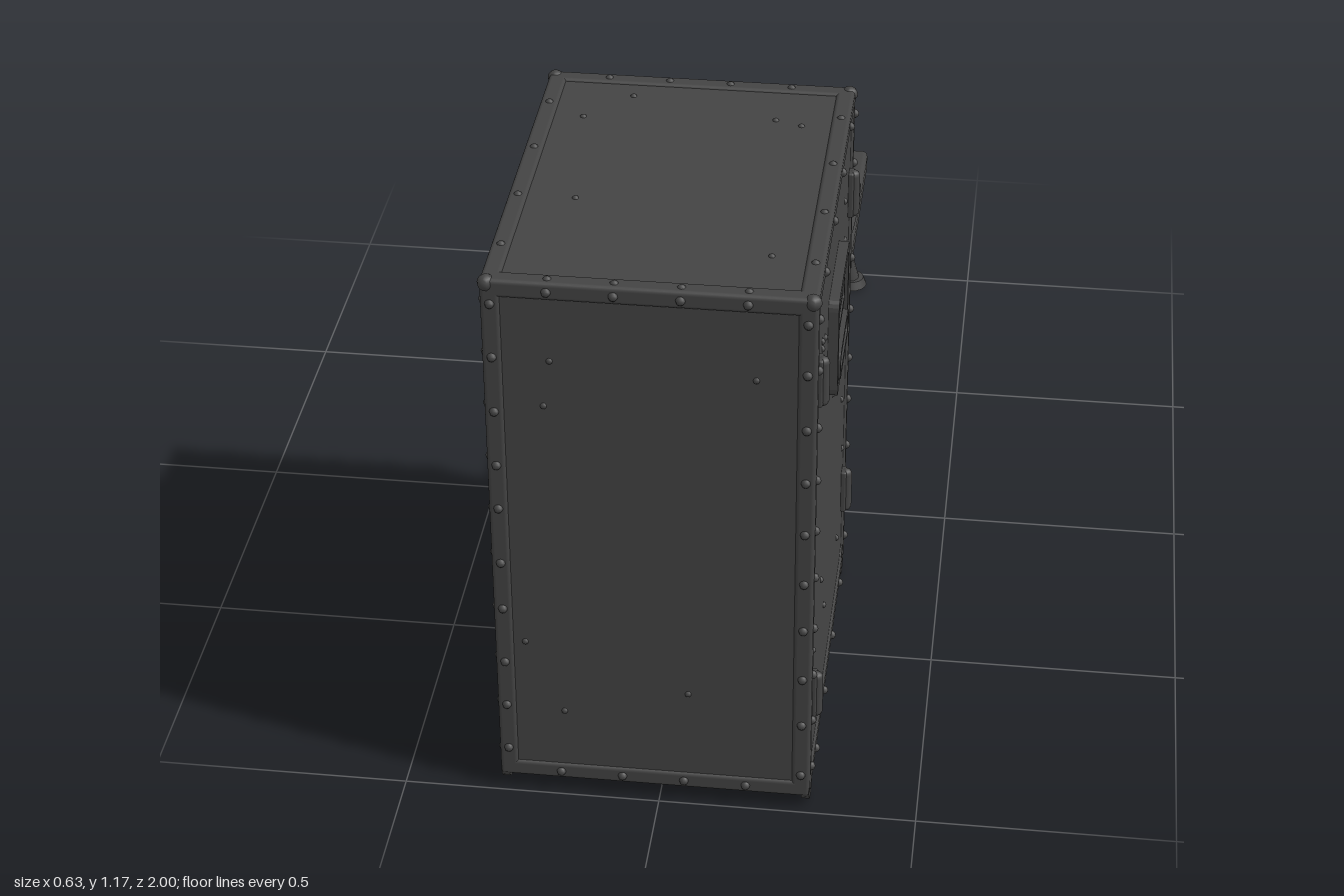
import * as THREE from 'three';
import { mergeVertices } from 'three/addons/utils/BufferGeometryUtils.js';
import { RoundedBoxGeometry } from 'three/addons/geometries/RoundedBoxGeometry.js';

const darkGrey = new THREE.MeshStandardMaterial({ color: 0x444444 });
darkGrey.name = 'darkGrey';

// Cabinet limits
const X0 = -0.312, X1 = 0.293, Y0 = 0.03, Y1 = 1.163, Z0 = 0.192, Z1 = 0.99;
const CX = (X0 + X1) / 2, CY = (Y0 + Y1) / 2, CZ = (Z0 + Z1) / 2;

let seed = 7;
const random = () => (seed = (seed * 16807) % 2147483647) / 2147483647;

function add(parent, name, geometry, x = 0, y = 0, z = 0) {
  const mesh = new THREE.Mesh(geometry, darkGrey);
  mesh.name = name;
  mesh.position.set(x, y, z);
  parent.add(mesh);
  return mesh;
}
const rounded = (w, h, d, r) => new RoundedBoxGeometry(w, h, d, 2, r);

// Flat frame with a rounded rectangular hole, facing +x
function rimGeometry(w, h, border, depth) {
  const rect = (p, a, b, r) => {
    p.moveTo(-a + r, -b);
    p.lineTo(a - r, -b); p.quadraticCurveTo(a, -b, a, -b + r);
    p.lineTo(a, b - r); p.quadraticCurveTo(a, b, a - r, b);
    p.lineTo(-a + r, b); p.quadraticCurveTo(-a, b, -a, b - r);
    p.lineTo(-a, -b + r); p.quadraticCurveTo(-a, -b, -a + r, -b);
    return p;
  };
  const shape = rect(new THREE.Shape(), w / 2, h / 2, 0.02);
  shape.holes.push(rect(new THREE.Path(), w / 2 - border, h / 2 - border, 0.01));
  const g = new THREE.ExtrudeGeometry(shape, { depth, bevelEnabled: false, curveSegments: 4 });
  return g.rotateY(Math.PI / 2);
}

function makeCabinet() {
  const cabinet = new THREE.Group();
  cabinet.name = 'cabinet';
  const w = X1 - X0, h = Y1 - Y0, d = Z1 - Z0, t = 0.036, e = t / 2;
  add(cabinet, 'cabinetBody', new THREE.BoxGeometry(w - 0.01, h - 0.01, d - 0.01), CX, CY, CZ);

  // Edge strips along all twelve edges
  for (const a of [-1, 1]) for (const b of [-1, 1]) {
    add(cabinet, 'edgeStripX', rounded(w, t, t, 0.008), CX, CY + a * (h / 2 - e), CZ + b * (d / 2 - e));
    add(cabinet, 'edgeStripY', rounded(t, h, t, 0.008), CX + a * (w / 2 - e), CY, CZ + b * (d / 2 - e));
    add(cabinet, 'edgeStripZ', rounded(t, t, d, 0.008), CX + a * (w / 2 - e), CY + b * (h / 2 - e), CZ);
    // Curved corner guards that reach below the body
    const guard = new THREE.CylinderGeometry(0.034, 0.034, 0.016, 14).rotateZ(Math.PI / 2);
    add(cabinet, 'cornerGuard', guard, CX + a * (w / 2 - 0.009), 0.041, CZ + b * (d / 2 - 0.036));
    // Rounded top corner caps
    add(cabinet, 'cornerCap', new THREE.SphereGeometry(0.016, 10, 8),
      CX + a * (w / 2 - 0.011), Y1 - 0.011, CZ + b * (d / 2 - 0.011));
  }

  // Rivets along the strips
  const rivet = new THREE.SphereGeometry(0.009, 8, 6);
  const put = (x, y, z) => add(cabinet, 'rivet', rivet, x, y, z);
  for (let i = 0; i < 10; i++) {
    const y = Y0 + 0.05 + i * 0.114;
    for (const x of [X0 + e, X1 - e]) for (const z of [Z0, Z1]) put(x, y + random() * 0.02, z);
    for (const z of [Z0 + e, Z1 - e]) for (const x of [X0 + 0.004, X1]) put(x, y + random() * 0.02, z);
  }
  for (let i = 0; i < 4; i++) {
    const x = X0 + 0.12 + i * 0.12, z = Z0 + 0.13 + i * 0.18;
    for (const s of [-1, 1]) {
      const zEdge = CZ + s * (d / 2 - e), xEdge = CX + s * (w / 2 - e);
      put(x, Y1 - 0.004, zEdge);
      put(xEdge, Y1 - 0.004, z);
      put(x, Y1 - e, CZ + s * d / 2);
      put(x, Y0 + e, CZ + s * d / 2);
    }
    put(X1, Y1 - e, z);
    put(X1, Y0 + e, z);
  }

  // Small scattered bumps on the worn panels
  const bump = new THREE.SphereGeometry(0.007, 8, 6);
  for (let i = 0; i < 12; i++) {
    const u = random() - 0.5, v = random() - 0.5;
    add(cabinet, 'sideBump', bump, X1 - 0.006, CY + v * 0.95, CZ + u * 0.65);
    if (i % 2) {
      add(cabinet, 'frontBump', bump, CX + u * 0.5, CY + v * 0.95, Z1 - 0.007);
      add(cabinet, 'backBump', bump, CX + v * 0.5, CY + u * 0.95, Z0 + 0.007);
      add(cabinet, 'topBump', bump, CX + v * 0.5, Y1 - 0.007, CZ + u * 0.65);
    }
  }

  // Hinges on the door side
  for (const z of [0.93, 0.252]) for (const y of [0.957, 0.24]) {
    const hinge = new THREE.CapsuleGeometry(0.012, 0.08, 4, 10);
    add(cabinet, 'hinge', hinge, 0.298, y, z);
    add(cabinet, 'hingePlate', rounded(0.012, 0.1, 0.03, 0.004), 0.293, y, z);
  }
  return cabinet;
}

// Recessed latch with keeper and pull handle
function makeLatch() {
  const latch = new THREE.Group();
  latch.name = 'latch';
  latch.position.set(X1 - 0.006, 0.878, 0.59);
  add(latch, 'latchPlate', rounded(0.016, 0.2, 0.23, 0.006));
  add(latch, 'latchRim', rimGeometry(0.24, 0.212, 0.018, 0.021));
  add(latch, 'keeperFrame', rimGeometry(0.18, 0.095, 0.01, 0.016), 0, 0.035, 0);
  add(latch, 'keeper', rounded(0.024, 0.018, 0.08, 0.006), 0.004, 0.03, 0);
  add(latch, 'keeperTop', rounded(0.022, 0.03, 0.035, 0.006), 0.004, 0.06, 0);
  add(latch, 'pullHandle', rimGeometry(0.18, 0.06, 0.012, 0.024), 0, -0.058, 0);
  return latch;
}

function makeBench() {
  const bench = new THREE.Group();
  bench.name = 'bench';
  // Seven seat slats
  for (let i = 0; i < 7; i++) {
    const back = -0.988 + [0.003, 0, 0.006, -0.002, 0.004, 0, -0.01][i];
    const front = 0.172 + [0, -0.004, -0.008, 0, -0.005, 0, 0.006][i];
    add(bench, 'slat', rounded(0.064, 0.054, front - back, 0.012),
      -0.216 + i * 0.0715, 0.328, (front + back) / 2);
  }
  // Curved legs, feet and crossbars at both ends
  for (const [z, out] of [[0.118, 0.016], [-0.922, -0.026]]) {
    for (const s of [-1, 1]) {
      const path = new THREE.CatmullRomCurve3([
        [0.185, 0.315, 0], [0.196, 0.24, 0.1], [0.194, 0.15, 0.4], [0.2, 0.07, 0.8], [0.214, 0.01, 1],
      ].map(([x, y, k]) => new THREE.Vector3(s * x, y, z + k * out)));
      add(bench, 'leg', new THREE.TubeGeometry(path, 16, 0.024, 10));
      add(bench, 'foot', new THREE.CylinderGeometry(0.03, 0.038, 0.02, 16), s * 0.216, 0.015, z + out);
      add(bench, 'footPad', new THREE.CylinderGeometry(0.016, 0.012, 0.008, 12), s * 0.216, 0.004, z + out);
    }
    add(bench, 'crossbar', rounded(0.38, 0.036, 0.026, 0.008), 0, 0.232, z);
    add(bench, 'batten', new THREE.BoxGeometry(0.44, 0.012, 0.04), 0, 0.3, z);
  }
  return bench;
}

// Soft folded layer: a box with bulging sides and gentle waves
function clothGeometry(w, h, d, phase) {
  const g = new THREE.BoxGeometry(w, h, d, 22, 6, 22);
  g.deleteAttribute('normal');
  g.deleteAttribute('uv');
  const soft = mergeVertices(g);
  const p = soft.attributes.position;
  for (let i = 0; i < p.count; i++) {
    const x = p.getX(i), y = p.getY(i), z = p.getZ(i);
    const u = x / (w / 2), v = z / (d / 2), k = (2 * y / h) ** 2;
    const inset = 0.018 * k;
    p.setXYZ(i,
      x - inset * u ** 5 + 0.006 * Math.sin(9 * z + phase) * u,
      y * (1 - 0.25 * Math.max(Math.abs(u), Math.abs(v)) ** 8)
        + 0.004 * Math.sin(14 * x + phase) + 0.003 * Math.cos(17 * z + 2 * phase),
      z - inset * v ** 5 + 0.006 * Math.sin(11 * x + 2 * phase) * v);
  }
  soft.computeVertexNormals();
  return soft;
}

function makeCloth() {
  const cloth = new THREE.Group();
  cloth.name = 'foldedCloth';
  // width, height, depth, x, y, z, turn
  [
    [0.425, 0.052, 0.375, 0.026, 0.379, -0.548, 0.02],
    [0.425, 0.046, 0.36, 0.03, 0.421, -0.545, -0.04],
    [0.385, 0.034, 0.335, 0.038, 0.457, -0.53, 0.02],
    [0.39, 0.036, 0.33, 0.036, 0.485, -0.525, -0.02],
  ].forEach(([w, h, d, x, y, z, turn], i) => {
    add(cloth, 'clothLayer', clothGeometry(w, h, d, i * 1.7), x, y, z).rotation.y = turn;
  });
  return cloth;
}

export function createModel() {
  const model = new THREE.Group();
  model.name = 'cabinetAndBench';
  model.add(makeCabinet(), makeLatch(), makeBench(), makeCloth());
  return model;
}
